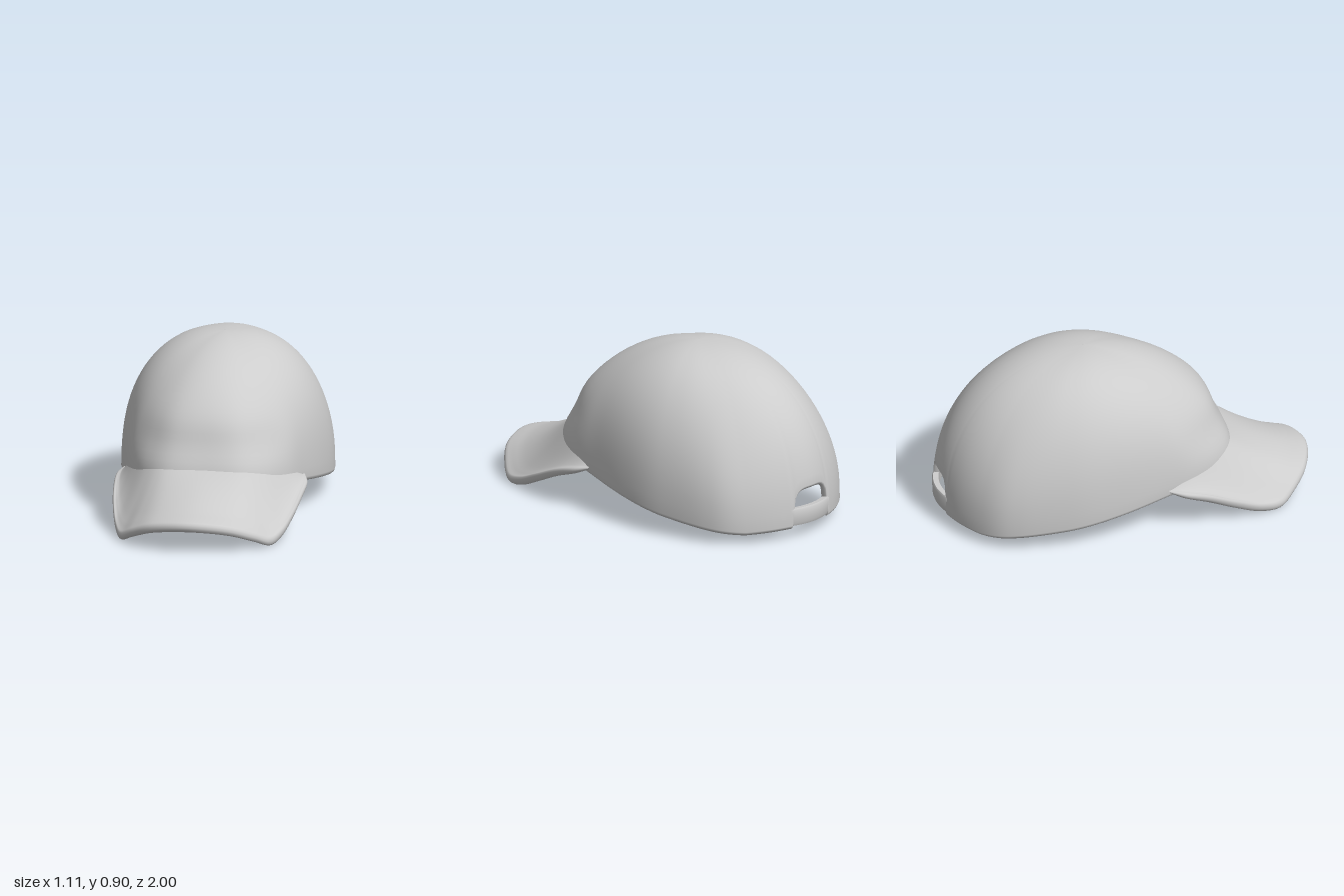
import * as THREE from 'three';
import { toCreasedNormals } from 'three/addons/utils/BufferGeometryUtils.js';

const MID_Z = -0.2, TOP = 0.9;
const { smoothstep, lerp } = THREE.MathUtils;

// Skin a list of columns, each an array of [x, y, z]
function loft(columns, closed = false) {
  const n = columns.length, m = columns[0].length, index = [];
  for (let i = 0; i < (closed ? n : n - 1); i++) {
    for (let j = 0; j < m - 1; j++) {
      const a = i * m + j, b = ((i + 1) % n) * m + j;
      index.push(a, b, a + 1, b, b + 1, a + 1);
    }
  }
  const g = new THREE.BufferGeometry();
  g.setAttribute('position', new THREE.Float32BufferAttribute(columns.flat(2), 3));
  g.setIndex(index);
  g.computeVertexNormals();
  return g;
}

// Smooth curve through half a set of points (starting on x = 0), mirrored in x
function mirrored(half, closed) {
  const right = half.map(p => new THREE.Vector3(...p));
  const left = right.filter(p => p.x > 0).map(p => new THREE.Vector3(-p.x, p.y, p.z)).reverse();
  return new THREE.CatmullRomCurve3(closed ? [...right, ...left] : [...left, ...right], closed, 'centripetal');
}

// Height of the crown's lower edge along z
const RIM = [[-1, 0.075], [-0.85, 0.068], [-0.6, 0.1], [-0.4, 0.125], [0, 0.19], [0.15, 0.215], [0.6, 0.28]];
function rimHeight(z) {
  for (let i = 1; i < RIM.length; i++) {
    const [z0, y0] = RIM[i - 1], [z1, y1] = RIM[i];
    if (z <= z1) return y0 + (y1 - y0) * Math.max(0, (z - z0) / (z1 - z0));
  }
  return 0.28;
}

// Footprint of the crown, from front to back
const footprint = mirrored([
  [0, 0, 0.57], [0.2, 0, 0.55], [0.32, 0, 0.465], [0.42, 0, 0.31], [0.485, 0, 0.1], [0.535, 0, -0.12],
  [0.553, 0, -0.3], [0.542, 0, -0.45], [0.5, 0, -0.66], [0.45, 0, -0.77], [0.36, 0, -0.86],
  [0.2, 0, -0.952], [0, 0, -0.998],
], true);
const COLS = 240;
const base = Array.from({ length: COLS }, (_, i) => footprint.getPoint(i / COLS));

// Domed shell with inner lining, rolled rim and an arched opening at the back
function crown() {
  const steps = 26;
  const columns = base.map(({ x, z }) => {
    const rim = rimHeight(z);
    const p = 2.36 - 0.5 * smoothstep(z, -0.4, 0.5) - 0.09 * smoothstep(-z, 0.5, 0.95);
    // Factor that turns the footprint into a plain oval towards the top
    const oval = 1 / Math.hypot(x / 0.555, (z - MID_Z) / (z > MID_Z ? 0.77 : 0.798));
    let a0 = 0;
    if (z < -0.8 && Math.abs(x) < 0.135) {
      const arch = 0.15 + 0.12 * Math.sqrt(1 - (x / 0.135) ** 4);
      a0 = Math.asin(((arch - rim) / (TOP - rim)) ** (p / 2));
    }
    const outer = [];
    for (let j = 0; j <= steps; j++) {
      const a = Math.min(a0 + (Math.PI / 2 - a0) * j / steps, Math.PI / 2 - 0.004);
      const h = Math.sin(a) ** (2 / p), y = rim + (TOP - rim) * h;
      const dent = 0.035 * smoothstep(z, 0.2, 0.55) * Math.exp(-(((y - 0.45) / 0.1) ** 2));
      const r = Math.cos(a) ** (2 / p) * lerp(1, oval, smoothstep(h, 0.1, 0.9)) - dent;
      outer.push([x * r, y, MID_Z + (z - MID_Z) * r]);
    }
    const shrink = ([px, py, pz], s, drop) => [px * s, py - drop, MID_Z + (pz - MID_Z) * s];
    const inner = outer.map(q => shrink(q, 0.957, (q[1] - rim) * 0.035)).reverse();
    const bead = [[0.962, 0.012], [0.978, 0.02], [0.993, 0.012]].map(([s, d]) => shrink(outer[0], s, d));
    return [...inner, ...bead, ...outer];
  });
  return loft(columns, true);
}

// Curved visor: a sheet with a rolled lip, between its seam on the crown and its free edge
function visor() {
  const seam = mirrored([[0, 0.332, 0.53], [0.2, 0.327, 0.515], [0.3, 0.313, 0.45], [0.39, 0.292, 0.32],
    [0.435, 0.268, 0.22], [0.455, 0.24, 0.14]], false);
  const edge = mirrored([[0, 0.14, 0.973], [0.2, 0.116, 0.922], [0.32, 0.066, 0.832], [0.39, 0.027, 0.75],
    [0.432, 0.045, 0.64], [0.466, 0.103, 0.5], [0.486, 0.168, 0.35], [0.488, 0.208, 0.22],
    [0.472, 0.23, 0.145]], false);
  const n = 96, steps = 14, columns = [];
  for (let i = 0; i <= n; i++) {
    const s = seam.getPoint(i / n), e = edge.getPoint(i / n);
    const bow = Math.sin(Math.PI * i / n), taper = smoothstep(bow, -0.2, 0.3);
    const half = (0.017 + 0.011 * bow) * taper;
    const out = e.clone().sub(s).setY(0).normalize();
    const sheet = side => Array.from({ length: steps + 1 }, (_, j) => {
      const t = j / steps, q = s.clone().lerp(e, t);
      const thick = half * lerp(0.75, 1, smoothstep(t, 0.75, 1));
      return [q.x, q.y - 0.02 * Math.sin(Math.PI * t) * bow + side * thick, q.z];
    });
    const lip = [-60, -30, 0, 30, 60].map(d => {
      const a = d * Math.PI / 180, c = 0.025 * taper * Math.cos(a);
      return [e.x + out.x * c, e.y + half * Math.sin(a), e.z + out.z * c];
    });
    columns.push([...sheet(-1), ...lip, ...sheet(1).reverse()]);
  }
  return loft(columns);
}

// Band across the opening at the back
function strap() {
  const columns = [];
  for (let i = 0; i <= 16; i++) {
    const x = 0.15 - 0.3 * i / 16, z = -1.003 + 1.5 * x * x;
    columns.push([[x, 0.075, z + 0.035], [x, 0.07, z + 0.01], [x, 0.085, z + 0.004], [x, 0.155, z],
      [x, 0.165, z + 0.006], [x, 0.163, z + 0.035], [x, 0.075, z + 0.035]]);
  }
  return toCreasedNormals(loft(columns), 0.7);
}

// Strip lining the inside of the front rim, narrowing to its ends
function sweatband() {
  const front = [...base.slice(-90), ...base.slice(0, 91)].filter(p => p.z > 0);
  return loft(front.map(({ x, z }) => {
    const y = rimHeight(z), tall = 0.01 + 0.07 * smoothstep(z, 0, 0.35);
    return [[0.945, tall], [0.93, tall - 0.005], [0.93, 0], [0.955, -0.008]]
      .map(([s, dy]) => [x * s, y + dy, MID_Z + (z - MID_Z) * s]);
  }));
}

export function createModel() {
  const fabric = new THREE.MeshStandardMaterial({ color: 0xcccccc, side: THREE.DoubleSide });
  fabric.name = 'light grey fabric';
  const group = new THREE.Group();
  group.name = 'cap';
  for (const [name, geometry] of Object.entries({
    crown: crown(), visor: visor(), backStrap: strap(), sweatband: sweatband(),
  })) {
    const mesh = new THREE.Mesh(geometry, fabric);
    mesh.name = name;
    group.add(mesh);
  }
  return group;
}
